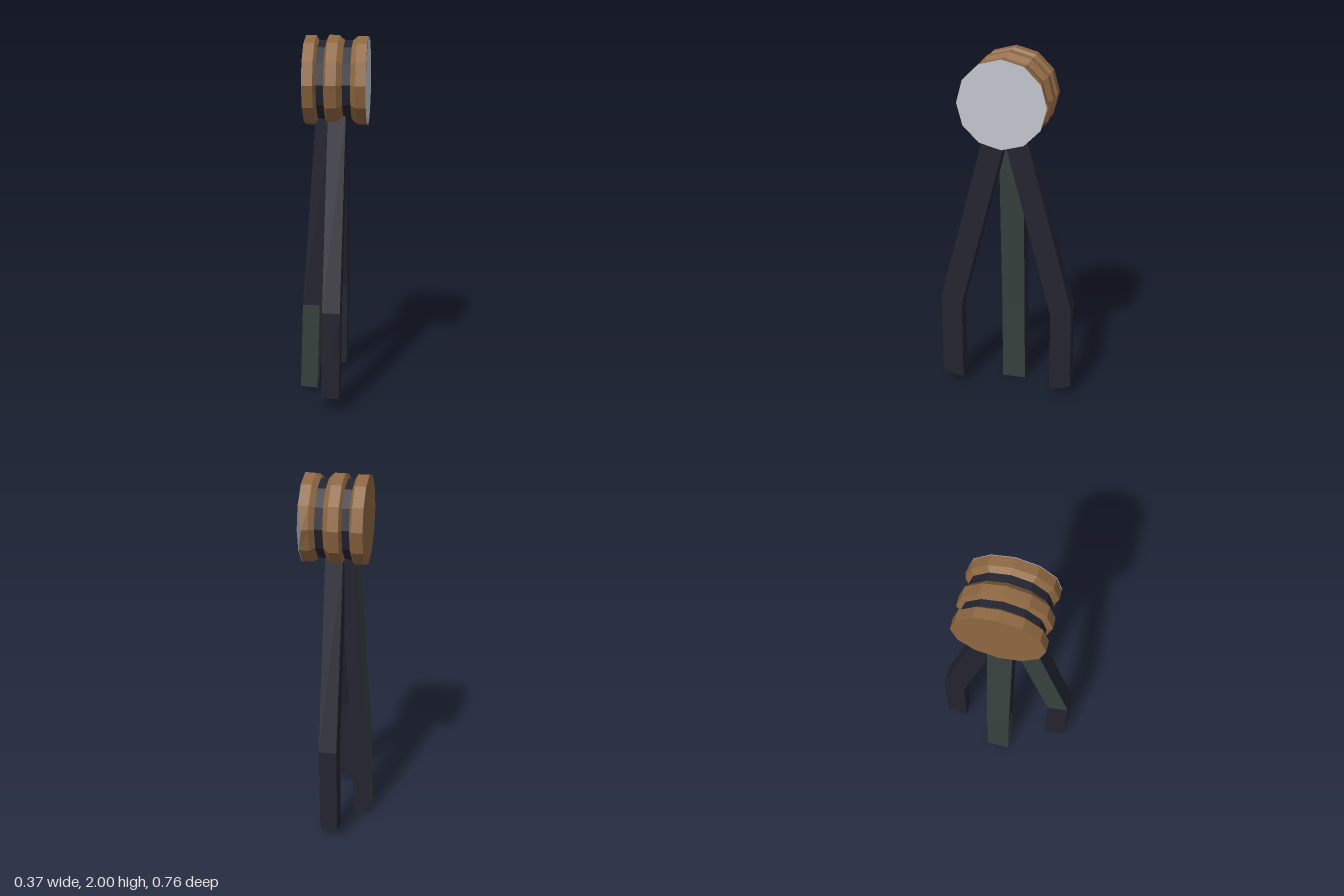
import * as THREE from 'three';

const mat = (name, color, side = THREE.FrontSide) => {
  const m = new THREE.MeshStandardMaterial({ color, flatShading: true, side });
  m.name = name;
  return m;
};

export function createModel() {
  const brown = mat('brown', 0x8f6842, THREE.DoubleSide);
  const navy = mat('navy', 0x242430);
  const green = mat('grey green', 0x37413e);
  const pale = mat('pale grey', 0xc2c6ce, THREE.DoubleSide);

  const model = new THREE.Group();
  model.name = 'tripodHammer';
  const add = (parent, name, geometry, material) => {
    const mesh = new THREE.Mesh(geometry, material);
    mesh.name = name;
    parent.add(mesh);
    return mesh;
  };

  // Head: twelve-sided rings turned around the x axis, given as [radius, x]
  const head = new THREE.Group();
  head.name = 'head';
  head.position.set(0, 1.76, -0.008);
  model.add(head);
  const ring = (name, profile, material) => {
    const points = profile.map(([r, x]) => new THREE.Vector2(r, x));
    const g = new THREE.LatheGeometry(points, 12).rotateZ(-Math.PI / 2);
    return add(head, name, g, material);
  };
  ring('backRing', [[0, -0.165], [0.24, -0.165], [0.24, -0.107], [0.215, -0.092]], brown);
  ring('backGroove', [[0.215, -0.094], [0.215, -0.05]], navy);
  ring('middleRing', [[0.215, -0.053], [0.243, -0.04], [0.243, 0.016], [0.215, 0.045]], brown);
  ring('frontGroove', [[0.215, 0.043], [0.215, 0.092]], navy);
  const rim = ring('frontRing', [[0.215, 0.088], [0.238, 0.116], [0.238, 0.17]], brown);
  ring('strikingFace', [[0.24, 0.172], [0, 0.172]], pale);

  // One chipped corner on the rear side of the front ring
  const p = rim.geometry.attributes.position;
  for (let i = 0; i < p.count; i++) {
    if (p.getX(i) > 0.16 && p.getZ(i) < -0.23) p.setXYZ(i, 0.149, 0, -0.245);
  }

  // Leg segment: a box whose two ends are moved to the given edges.
  // An end is { x: [min, max], z: [min, max], y: [at min z, at max z], lean }
  const segment = (parent, name, bottom, top, materials) => {
    const g = new THREE.BoxGeometry(1, 1, 1);
    const v = g.attributes.position;
    for (let i = 0; i < v.count; i++) {
      const end = v.getY(i) > 0 ? top : bottom;
      const a = v.getX(i) > 0 ? 1 : 0;
      const b = v.getZ(i) > 0 ? 1 : 0;
      v.setXYZ(i, end.x[a], end.y[b] + (end.lean || 0) * a, end.z[b]);
    }
    g.computeVertexNormals();
    return add(parent, name, g, materials);
  };

  // Two bent side legs, mirrored in z with a small offset
  for (const s of [1, -1]) {
    const leg = new THREE.Group();
    leg.name = s > 0 ? 'frontLeg' : 'rearLeg';
    model.add(leg);
    const dx = s > 0 ? 0 : -0.008;
    const dy = s > 0 ? 0 : -0.015;
    const end = (x, inner, outer) => ({
      x: [x + dx, x + dx + 0.096],
      z: s > 0 ? [inner[0], outer[0]] : [-outer[0], -inner[0]],
      y: (s > 0 ? [inner[1], outer[1]] : [outer[1], inner[1]]).map((y) => y + dy),
    });
    const foot = end(-0.049, [0.258, 0.045], [0.378, 0.08]);
    const knee = end(-0.044, [0.258, 0.53], [0.378, 0.57]);
    const top = end(-0.037, [0, 1.53], [0.108, 1.6]);
    segment(leg, 'shin', foot, knee, navy);
    const upper = s > 0 ? [navy, green, navy, navy, navy, navy] : navy;
    segment(leg, 'thigh', knee, top, upper);
  }

  // Straight leaning support leg: broad faces green, narrow faces navy
  const support = new THREE.Group();
  support.name = 'supportLeg';
  model.add(support);
  const z = [-0.08, 0.054];
  const foot = { x: [-0.2, -0.105], z, y: [0.007, 0.007], lean: -0.007 };
  const knee = { x: [-0.185, -0.09], z, y: [0.5, 0.5] };
  const top = { x: [-0.105, -0.015], z, y: [1.6, 1.6] };
  segment(support, 'lowerSupport', foot, knee, [green, green, navy, green, green, navy]);
  segment(support, 'upperSupport', knee, top, [green, green, navy, navy, navy, navy]);

  return model;
}
